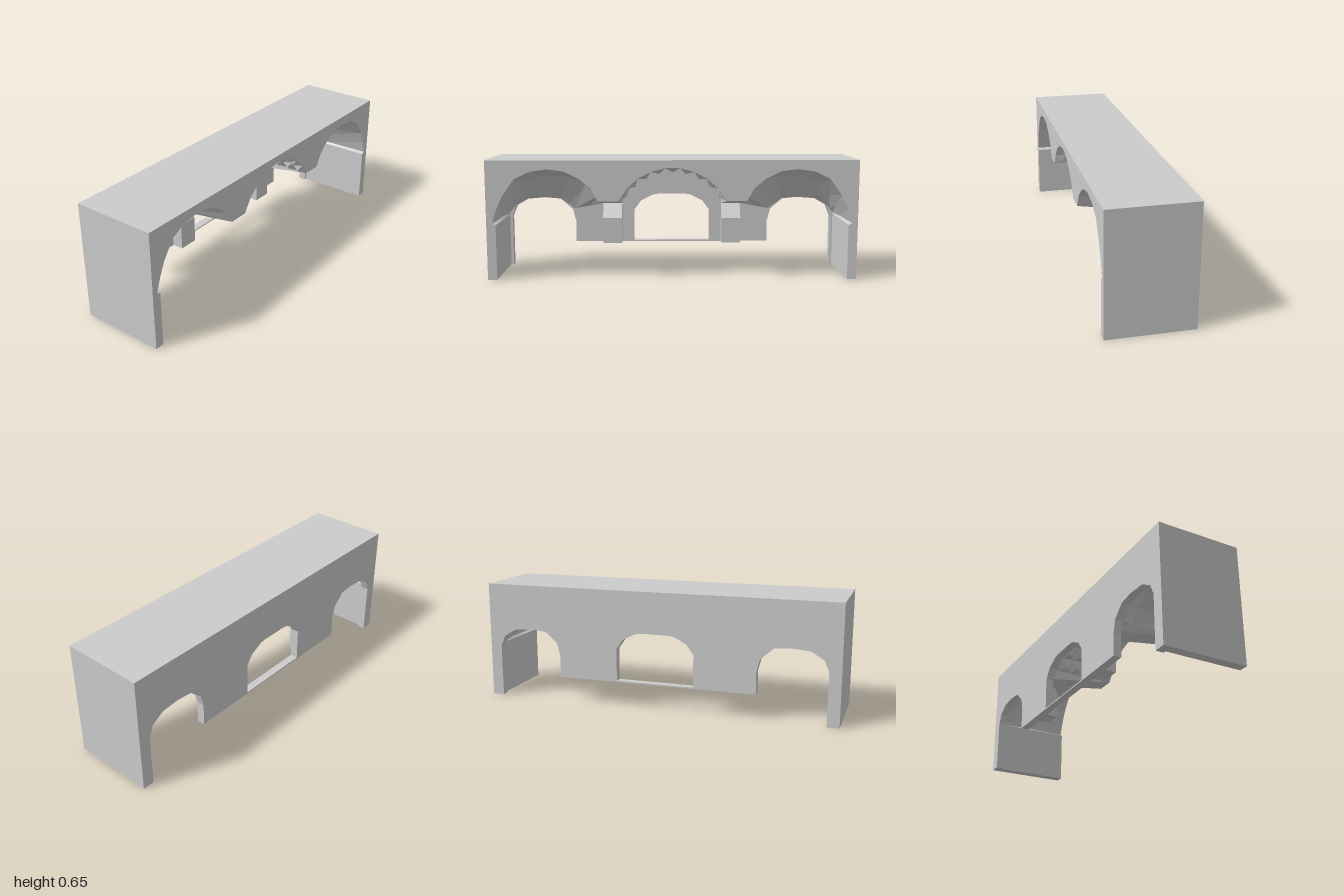
import * as THREE from 'three';

const FRONT = 0.228, BACK = -0.228, WALL = -0.185, TOP = 0.65;
const solid = new THREE.MeshStandardMaterial({ color: 0xcccccc, flatShading: true });
const sheet = new THREE.MeshStandardMaterial({ color: 0xcccccc, flatShading: true, side: THREE.DoubleSide });

// Centre vault arc
const CY = 0.286, R = 0.324, HALF = Math.atan2(0.29, 0.144), CELLS = 9, ROWS = 6;
const arc = (a, r) => [r * Math.sin(a), CY + r * Math.cos(a)];

// Side vault cross-sections, from the pier out to the end wall
const vaultFront = [[0.4, 0.43], [0.44, 0.5], [0.5, 0.55], [0.58, 0.59], [0.67, 0.602], [0.76, 0.59],
  [0.845, 0.55], [0.91, 0.46], [0.945, 0.385], [0.97, 0.31], [0.95, 0.3]];
const vaultMid = [[0.4, 0.388], [0.43, 0.42], [0.49, 0.49], [0.58, 0.535], [0.67, 0.54], [0.76, 0.54],
  [0.84, 0.5], [0.9, 0.43], [0.935, 0.37], [0.962, 0.31], [0.95, 0.3]];
const vaultBack = [[0.4, 0.365], [0.48, 0.35], [0.57, 0.335], [0.6, 0.36], [0.65, 0.392], [0.74, 0.4],
  [0.84, 0.392], [0.91, 0.355], [0.932, 0.33], [0.95, 0.31], [0.95, 0.3]];

const mirror = (pts) => pts.map(([x, y]) => [-x, y]).reverse();
const shapeOf = (pts) => new THREE.Shape(pts.map(([x, y]) => new THREE.Vector2(x, y)));

function add(parent, name, geometry, material) {
  const mesh = new THREE.Mesh(geometry, material);
  mesh.name = name;
  parent.add(mesh);
  return mesh;
}

function fromTriangles(pos) {
  const g = new THREE.BufferGeometry();
  g.setAttribute('position', new THREE.Float32BufferAttribute(pos, 3));
  g.computeVertexNormals();
  return g;
}

// Faceted skin between successive cross-sections
function loft(sections) {
  const pos = [];
  for (let s = 0; s + 1 < sections.length; s++) {
    const [p, q] = [sections[s], sections[s + 1]];
    for (let i = 0; i + 1 < p.pts.length; i++) {
      const a = [...p.pts[i], p.z], b = [...p.pts[i + 1], p.z];
      const c = [...q.pts[i + 1], q.z], d = [...q.pts[i], q.z];
      pos.push(...a, ...b, ...c, ...a, ...c, ...d);
    }
  }
  return fromTriangles(pos);
}

// Barrel ceiling covered with a grid of small hanging pyramids
function studdedVault() {
  const pos = [], da = 2 * HALF / CELLS, dz = (FRONT - WALL) / ROWS;
  for (let i = 0; i < CELLS; i++) {
    for (let j = 0; j < ROWS; j++) {
      const a = -HALF + i * da, z = WALL + j * dz;
      const c = [[...arc(a, R), z], [...arc(a + da, R), z], [...arc(a + da, R), z + dz], [...arc(a, R), z + dz]];
      const tip = [...arc(a + da / 2, R - 0.028), z + dz / 2];
      for (let k = 0; k < 4; k++) pos.push(...c[k], ...c[(k + 1) % 4], ...tip);
    }
  }
  return fromTriangles(pos);
}

export function createModel() {
  const model = new THREE.Group();
  model.name = 'vaultedArcade';

  // Front wall with three arches
  const rightHalf = [...vaultFront, [0.95, 0], [1, 0]];
  const centreArch = [];
  for (let i = 0; i <= CELLS; i++) centreArch.push(arc(-HALF + i * 2 * HALF / CELLS, R));
  const frontShape = shapeOf([[-1, TOP], ...mirror(rightHalf), ...centreArch, ...rightHalf, [1, TOP]]);
  add(model, 'frontWall', new THREE.ShapeGeometry(frontShape), sheet).position.z = FRONT;

  // Back wall with two side passages and a window
  const passage = [[0.562, 0.138], [0.562, 0.26], [0.58, 0.33], [0.65, 0.392], [0.74, 0.4], [0.84, 0.392],
    [0.91, 0.35], [0.935, 0.29], [0.935, 0], [1, 0]];
  const backShape = shapeOf([[-1, TOP], ...mirror(passage), ...passage, [1, TOP]]);
  const windowHalf = [[0.08, 0.42], [0.11, 0.415], [0.18, 0.38], [0.22, 0.325], [0.22, 0.145]];
  backShape.holes.push(new THREE.Path(
    [...mirror(windowHalf), ...windowHalf].map(([x, y]) => new THREE.Vector2(x, y))));
  add(model, 'backWall', new THREE.ExtrudeGeometry(backShape, { depth: WALL - BACK, bevelEnabled: false }), solid)
    .position.z = BACK;

  // Flat roof
  const roof = add(model, 'roof', new THREE.PlaneGeometry(2, FRONT - BACK), sheet);
  roof.rotation.x = -Math.PI / 2;
  roof.position.y = TOP;

  // Ceiling over the middle bay
  add(model, 'centreVault', studdedVault(), sheet);

  for (const side of [1, -1]) {
    const half = new THREE.Group();
    half.name = side > 0 ? 'leftSide' : 'rightSide';
    half.scale.x = side;
    model.add(half);

    // End wall: outer face and the thick lower part
    const outer = add(half, 'endWall', new THREE.PlaneGeometry(FRONT - BACK, TOP), sheet);
    outer.rotation.y = Math.PI / 2;
    outer.position.set(1, TOP / 2, 0);
    add(half, 'endWallBase', new THREE.BoxGeometry(0.05, 0.3, FRONT - BACK), solid).position.set(0.975, 0.15, 0);

    // Side vault narrowing towards the passage
    add(half, 'sideVault', loft([
      { pts: vaultFront, z: FRONT }, { pts: vaultMid, z: -0.04 }, { pts: vaultBack, z: WALL },
    ]), sheet);

    // Pier with a sloped head, and the beam running to the front
    const pier = shapeOf([[WALL, 0.138], [-0.122, 0.138], [-0.122, 0.285], [-0.182, 0.365],
      [FRONT, 0.43], [WALL, 0.43]]);
    const g = new THREE.ExtrudeGeometry(pier, { depth: 0.11, bevelEnabled: false });
    g.rotateY(-Math.PI / 2).translate(0.4, 0, 0);
    add(half, 'pierAndBeam', g, solid);
  }
  return model;
}
